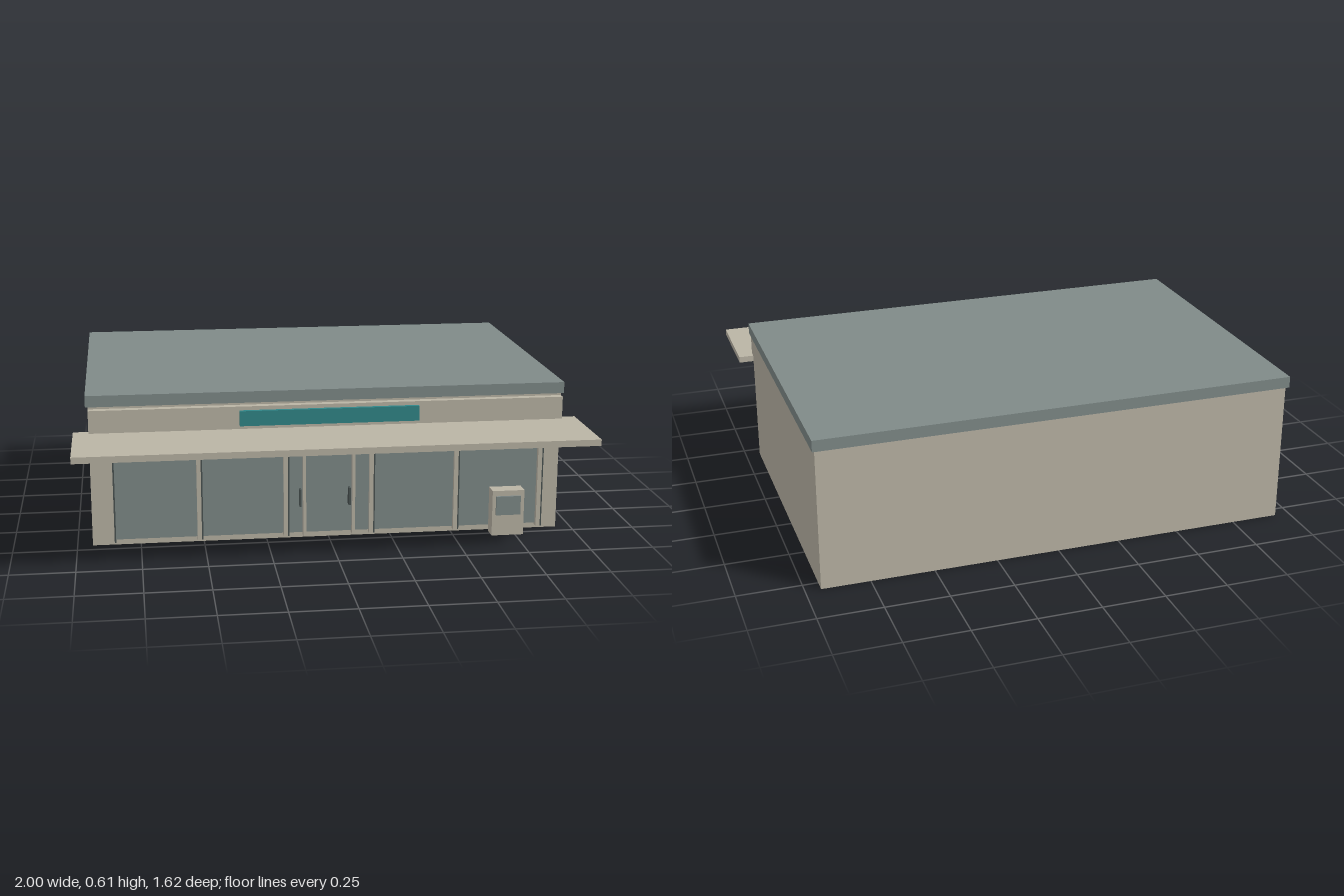
import * as THREE from 'three';

const material = (name, color) => {
  const m = new THREE.MeshStandardMaterial({ color });
  m.name = name;
  return m;
};

export function createModel() {
  const beige = material('beige render', 0xbab4a5);
  const grey = material('grey roof and glass', 0x7f8a88);
  const teal = material('teal sign', 0x308688);
  const dark = material('dark metal', 0x4a5352);

  const model = new THREE.Group();
  model.name = 'shop';

  // Box given by its limits on each axis
  const box = (name, mat, [x0, x1], [y0, y1], [z0, z1], parent = model) => {
    const mesh = new THREE.Mesh(new THREE.BoxGeometry(x1 - x0, y1 - y0, z1 - z0), mat);
    mesh.position.set((x0 + x1) / 2, (y0 + y1) / 2, (z0 + z1) / 2);
    mesh.name = name;
    parent.add(mesh);
    return mesh;
  };

  // Building shell
  box('walls', beige, [-0.94, 0.94], [0, 0.565], [-0.8, 0.45]);
  box('roof', grey, [-0.95, 0.95], [0.565, 0.61], [-0.812, 0.46]);
  box('fascia', beige, [-0.94, 0.94], [0.465, 0.555], [0.45, 0.48]);
  box('canopy', beige, [-1, 1], [0.44, 0.465], [0.45, 0.81]);
  box('signPanel', teal, [-0.355, 0.355], [0.48, 0.54], [0.48, 0.497]);

  // Glazed shopfront
  const front = new THREE.Group();
  front.name = 'shopfront';
  model.add(front);
  box('glass', grey, [-0.848, 0.848], [0.025, 0.44], [0.45, 0.463], front);

  // Mullions, each with a dark shadow gasket on its right edge
  for (let i = 0; i < 6; i++) {
    const x = -0.86 + i * 0.344;
    box('mullion', beige, [x - 0.011, x + 0.006], [0.015, 0.44], [0.45, 0.478], front);
    box('mullionGasket', dark, [x + 0.006, x + 0.012], [0.015, 0.44], [0.45, 0.476], front);
  }

  // Door stiles and handles
  for (const x of [-0.1, 0.097]) {
    box('doorStile', beige, [x - 0.006, x + 0.006], [0.015, 0.41], [0.45, 0.485], front);
    box('doorHandle', dark, [x - 0.021, x - 0.013], [0.14, 0.21], [0.463, 0.492], front);
  }

  // Free-standing kiosk with its screen
  const kiosk = new THREE.Group();
  kiosk.name = 'kiosk';
  model.add(kiosk);
  box('kioskBody', beige, [0.653, 0.783], [0, 0.187], [0.47, 0.531], kiosk);
  box('kioskScreen', grey, [0.667, 0.767], [0.087, 0.165], [0.531, 0.539], kiosk);

  return model;
}
